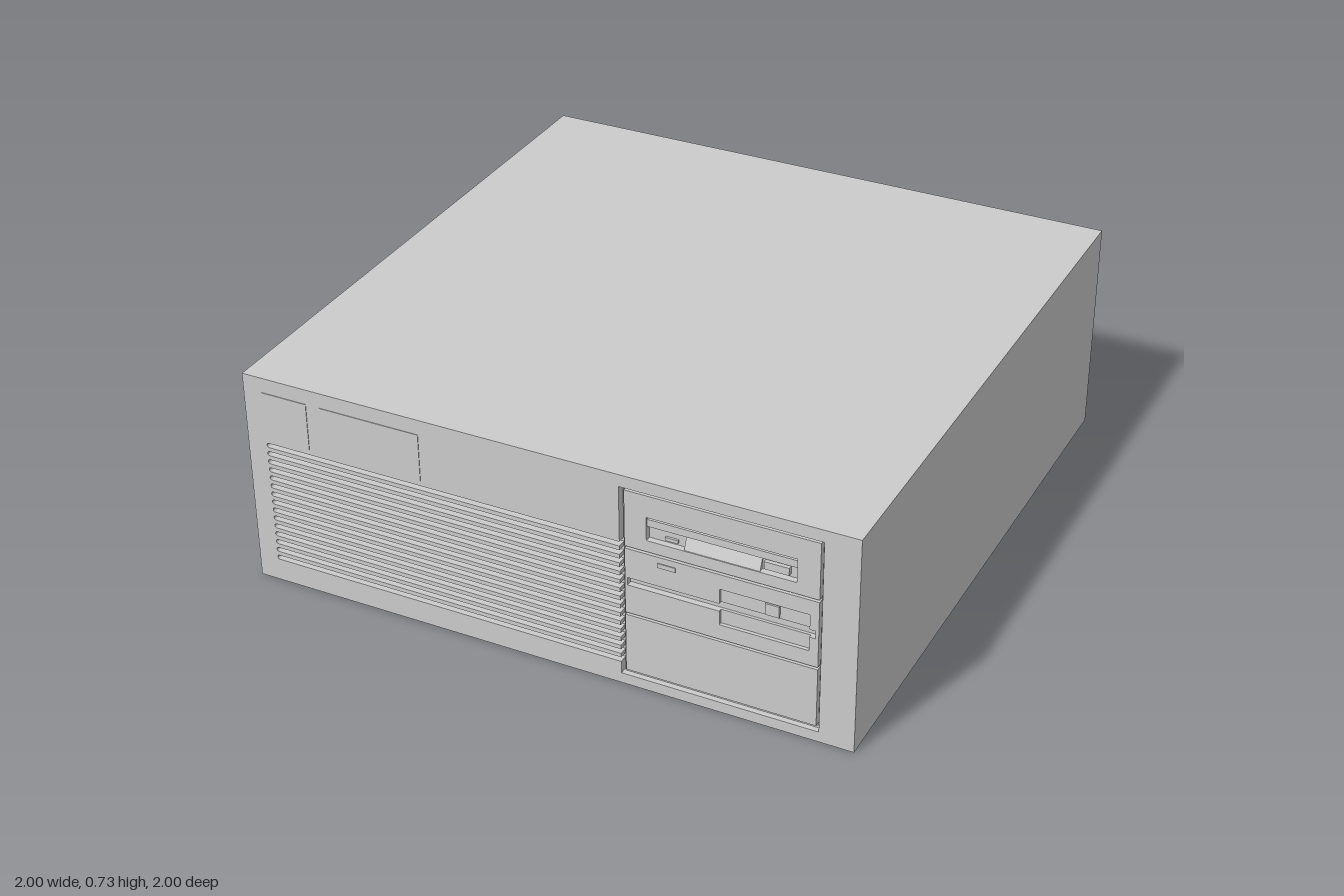
import * as THREE from 'three';

const grey = new THREE.MeshStandardMaterial({ color: 0xcccccc, flatShading: true });

const W = 2, H = 0.725;        // case width and height
const FACE = 0.998;            // front of the bezel
const FLOOR = 0.97;            // bottom of slots and drive bay
const DRIVE = 0.99;            // front of the drive panels

export function createModel() {
  const model = new THREE.Group();

  const add = (name, geometry, parent = model) => {
    const mesh = new THREE.Mesh(geometry, grey);
    mesh.name = name;
    parent.add(mesh);
    return mesh;
  };

  // Box given by its limits on each axis
  const box = (name, x0, x1, y0, y1, z0, z1, parent) => {
    const mesh = add(name, new THREE.BoxGeometry(x1 - x0, y1 - y0, z1 - z0), parent);
    mesh.position.set((x0 + x1) / 2, (y0 + y1) / 2, (z0 + z1) / 2);
    return mesh;
  };

  const rect = (Type, x0, x1, y0, y1) => new Type([
    [x0, y0], [x1, y0], [x1, y1], [x0, y1],
  ].map(([x, y]) => new THREE.Vector2(x, y)));

  // Flat plate with holes, running from z0 to z1
  const plate = (name, shape, holes, z0, z1, parent) => {
    shape.holes.push(...holes);
    const geometry = new THREE.ExtrudeGeometry(shape, { depth: z1 - z0, bevelEnabled: false, curveSegments: 6 });
    geometry.translate(0, 0, z0);
    return add(name, geometry, parent);
  };

  // Case
  box('caseBody', -1, 1, 0, H, -1, FLOOR);

  // Bezel: drive bay opening with round-ended vent slots running into its side
  const bay = { x0: 0.26, x1: 0.89, y0: 0.035, y1: 0.685 };
  const opening = new THREE.Path();
  opening.moveTo(bay.x1, bay.y0);
  opening.lineTo(bay.x1, bay.y1);
  opening.lineTo(bay.x0, bay.y1);
  const slots = 15, radius = 0.0075;
  for (let i = 0; i < slots; i++) {
    const y = 0.491 - i * 0.0291;
    opening.lineTo(bay.x0, y + radius);
    opening.lineTo(-0.927, y + radius);
    opening.absarc(-0.927, y, radius, Math.PI / 2, Math.PI * 1.5, false);
    opening.lineTo(bay.x0, y - radius);
  }
  opening.lineTo(bay.x0, bay.y0);
  opening.closePath();
  plate('bezel', rect(THREE.Shape, -W / 2, W / 2, 0, H), [opening], FLOOR, FACE);

  // Stepped rim inside the bay
  plate('bayRim', rect(THREE.Shape, bay.x0 + 0.005, bay.x1, bay.y0, bay.y1),
    [rect(THREE.Path, 0.268, 0.882, 0.043, 0.677)], FLOOR, 0.98);

  // Blank badge plates
  box('smallBadgePlate', -0.935, -0.78, 0.517, 0.675, FLOOR, 1);
  box('largeBadgePlate', -0.733, -0.395, 0.517, 0.675, FLOOR, 1);

  // Disc drive
  const disc = new THREE.Group();
  disc.name = 'discDrive';
  model.add(disc);
  plate('discDrivePanel', rect(THREE.Shape, 0.272, 0.878, 0.484, 0.673),
    [rect(THREE.Path, 0.342, 0.808, 0.522, 0.6)], FLOOR, DRIVE, disc);
  box('trayLip', 0.342, 0.808, 0.566, 0.59, FLOOR, 0.983, disc);
  box('discDriveLight', 0.395, 0.435, 0.53, 0.541, FLOOR, 0.977, disc);
  box('discDriveButton', 0.705, 0.782, 0.533, 0.558, FLOOR, 0.985, disc);

  // Sloping flap: a triangle in the side plane, swept along x
  const flapShape = new THREE.Shape([[0, 0.523], [0.018, 0.523], [0, 0.566]]
    .map(([z, y]) => new THREE.Vector2(-z, y)));
  const flap = new THREE.ExtrudeGeometry(flapShape, { depth: 0.235, bevelEnabled: false });
  flap.rotateY(Math.PI / 2);
  flap.translate(0.46, 0, FLOOR);
  add('discDriveFlap', flap, disc);

  // Floppy drive: the long slot crosses the finger recess
  const floppy = new THREE.Group();
  floppy.name = 'floppyDrive';
  model.add(floppy);
  const recess = new THREE.Path([
    [0.28, 0.35], [0.572, 0.35], [0.572, 0.303], [0.85, 0.303], [0.85, 0.35], [0.868, 0.35],
    [0.868, 0.376], [0.85, 0.376], [0.85, 0.426], [0.572, 0.426], [0.572, 0.376], [0.28, 0.376],
  ].map(([x, y]) => new THREE.Vector2(x, y)));
  plate('floppyPanel', rect(THREE.Shape, 0.272, 0.878, 0.253, 0.476), [recess], FLOOR, DRIVE, floppy);
  box('fingerRecessTop', 0.572, 0.85, 0.376, 0.426, FLOOR, 0.979, floppy);
  box('fingerRecessBottom', 0.572, 0.85, 0.303, 0.35, FLOOR, 0.979, floppy);
  box('ejectButton', 0.712, 0.755, 0.382, 0.42, FLOOR, 0.988, floppy);
  box('floppyLight', 0.377, 0.434, 0.441, 0.456, FLOOR, 0.993, floppy);

  // Blank cover of the empty bay
  box('blankBayCover', 0.272, 0.878, 0.047, 0.245, FLOOR, DRIVE);

  return model;
}
